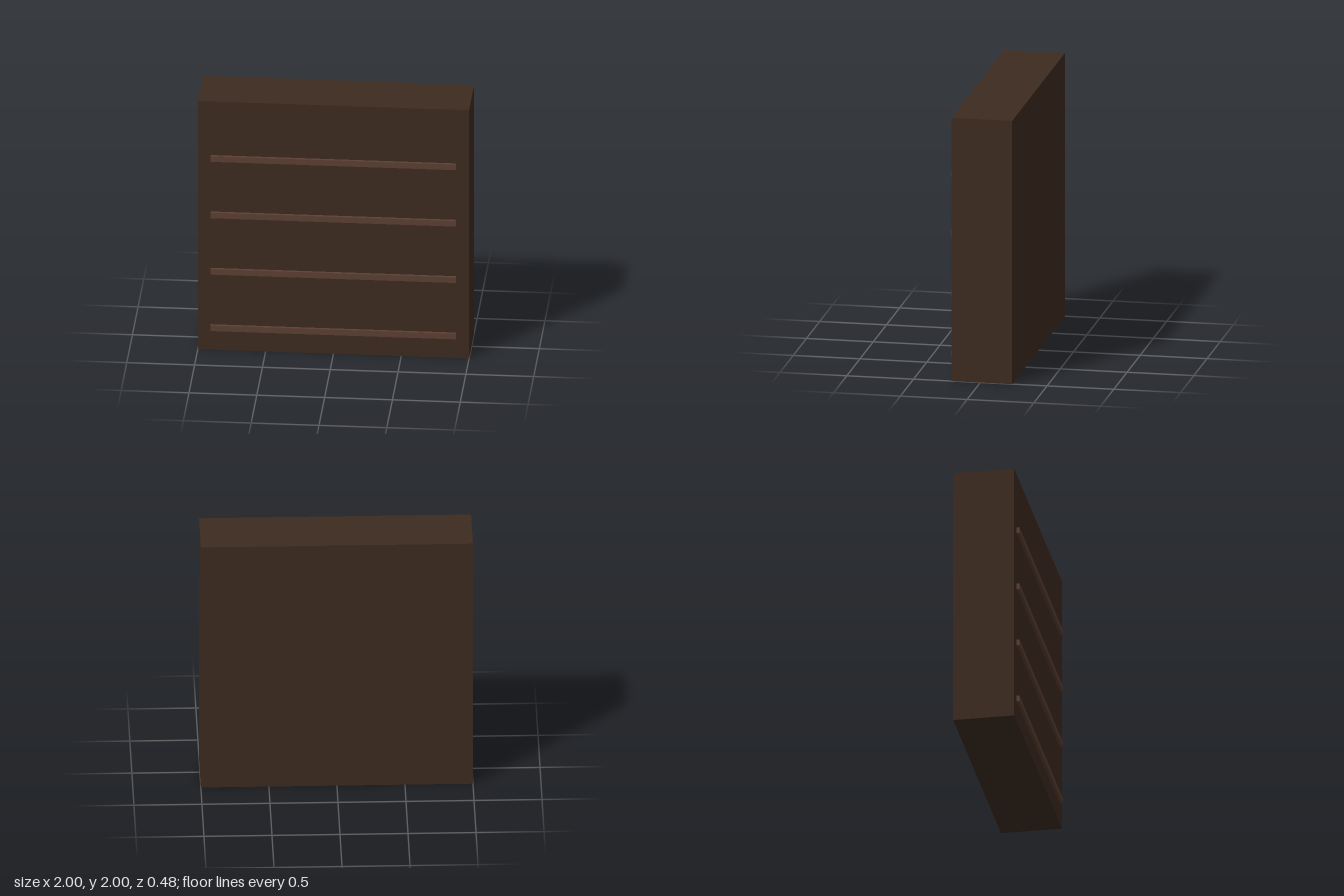
import * as THREE from 'three';

const WIDTH = 2, HEIGHT = 2, DEPTH = 0.455;
const FRONT_Z = 0.216; // front face of the cabinet body

function box(name, size, position, material) {
  const mesh = new THREE.Mesh(new THREE.BoxGeometry(...size), material);
  mesh.name = name;
  mesh.position.set(...position);
  return mesh;
}

export function createModel() {
  const group = new THREE.Group();
  group.name = 'slattedCabinet';
  const darkWood = new THREE.MeshStandardMaterial({ color: 0x3d2b1f });
  const lightWood = new THREE.MeshStandardMaterial({ color: 0x5c4033 });

  // Solid body
  group.add(box('body', [WIDTH, HEIGHT, DEPTH], [0, HEIGHT / 2, FRONT_Z - DEPTH / 2], darkWood));

  // Four evenly spaced shelf strips, half sunk into the front
  for (let i = 0; i < 4; i++) {
    const y = 0.182 + i * 0.4545;
    group.add(box(`shelfStrip${i + 1}`, [1.81, 0.045, 0.045], [0, y, FRONT_Z], lightWood));
  }
  return group;
}
